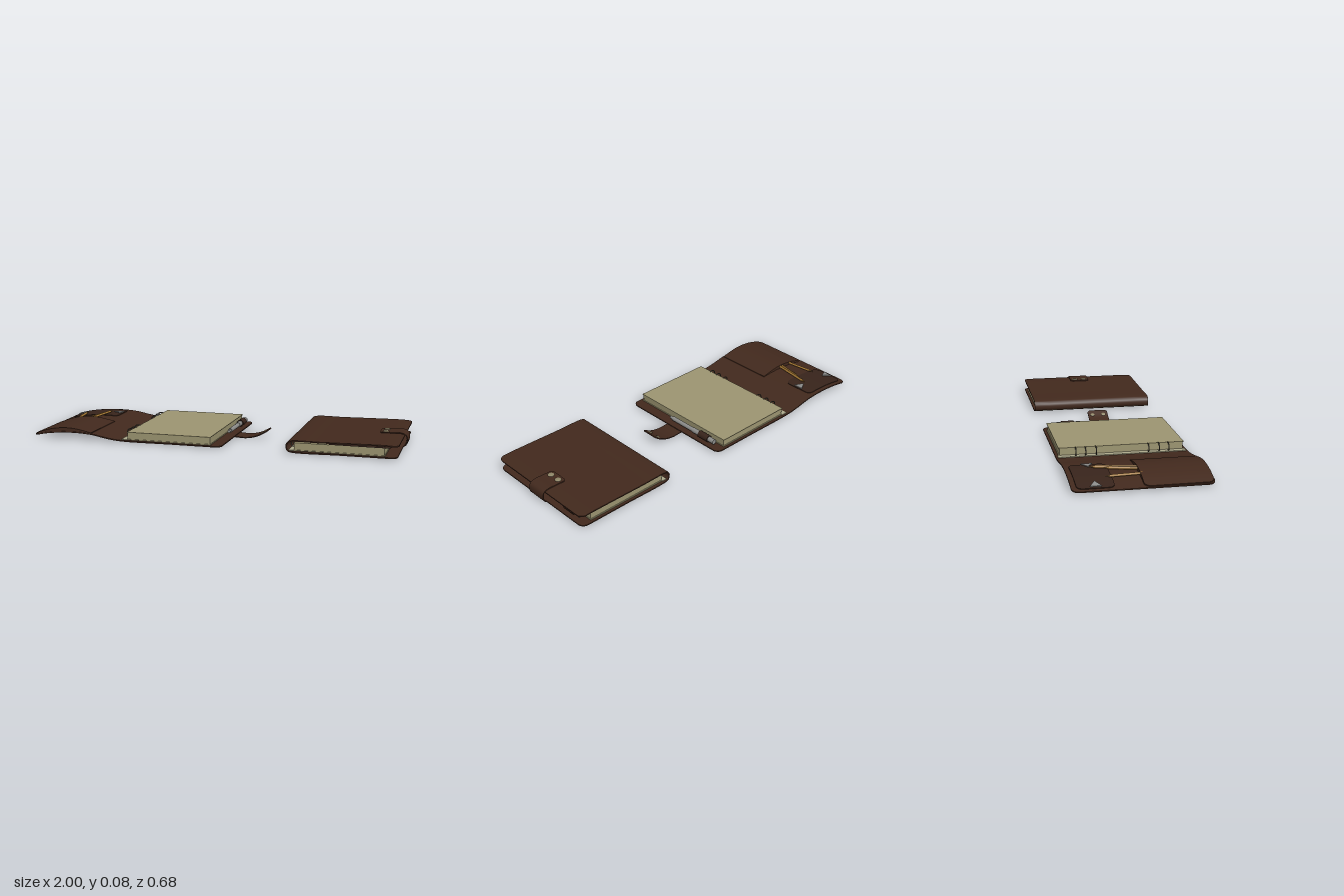
import * as THREE from 'three';

const mat = (name, color) => {
  const m = new THREE.MeshStandardMaterial({ color });
  m.name = name;
  return m;
};

export function createModel() {
  const model = new THREE.Group();
  model.name = 'leatherJournals';
  const leather = mat('brown leather', 0x42291d);
  const darkLeather = mat('dark leather', 0x38241b);
  const paper = mat('cream paper', 0x9c9571);
  const lightPaper = mat('pale paper', 0xaeaa8c);
  const metal = mat('grey metal', 0x8c8c8a);
  const ringMetal = mat('dark ring metal', 0x4c483c);
  const brass = mat('dull brass', 0x8f8768);
  const wood = mat('pencil wood', 0xa87a34);

  const add = (parent, name, geometry, material, x = 0, y = 0, z = 0) => {
    const mesh = new THREE.Mesh(geometry, material);
    mesh.name = name;
    mesh.position.set(x, y, z);
    parent.add(mesh);
    return mesh;
  };

  // Thin leather slab bent along an x/y profile; rStart and rEnd round its end corners.
  const sheet = (points, z0, z1, thickness, rStart = 0, rEnd = 0, segments = 64, bulge = 0) => {
    const curve = new THREE.CatmullRomCurve3(points.map(([x, y]) => new THREE.Vector3(x, y, 0)), false, 'centripetal');
    curve.arcLengthDivisions = 600;
    const length = curve.getLength();
    const geo = new THREE.BoxGeometry(1, 1, 1, segments, 1, 8);
    const pos = geo.attributes.position;
    const inset = (s, r) => (s < r ? r - Math.sqrt(Math.max(0, r * r - (r - s) ** 2)) : 0);
    for (let i = 0; i < pos.count; i++) {
      const t = Math.min(1, Math.max(0, (1 - Math.cos(Math.PI * (pos.getX(i) + 0.5))) / 2));
      const p = curve.getPointAt(t);
      const d = curve.getTangentAt(t);
      const half = (z1 - z0) / 2 - inset(t * length, rStart) - inset((1 - t) * length, rEnd);
      const lift = pos.getY(i) * thickness + (pos.getY(i) > 0 ? bulge * Math.sin(Math.PI * t) : 0);
      pos.setXYZ(i, p.x - d.y * lift, p.y + d.x * lift, (z0 + z1) / 2 + pos.getZ(i) * 2 * half);
    }
    geo.computeVertexNormals();
    return geo;
  };

  // Pencil between two points with a pointed tip at the second
  const pencil = (parent, from, to) => {
    const a = new THREE.Vector3(...from), b = new THREE.Vector3(...to);
    const g = new THREE.Group();
    g.name = 'pencil';
    const len = a.distanceTo(b);
    add(g, 'pencilBody', new THREE.CylinderGeometry(0.007, 0.007, len - 0.03, 6), wood, 0, (len - 0.03) / 2, 0);
    add(g, 'pencilTip', new THREE.ConeGeometry(0.007, 0.03, 6), wood, 0, len - 0.015, 0);
    g.position.copy(a);
    g.quaternion.setFromUnitVectors(new THREE.Vector3(0, 1, 0), b.sub(a).normalize());
    parent.add(g);
  };

  // Page block, binder rings, pen and pen loop shared by both journals
  const contents = (parent) => {
    add(parent, 'pageBlock', new THREE.BoxGeometry(0.46, 0.036, 0.64), paper, -0.225, 0.034, 0);
    add(parent, 'topPage', new THREE.BoxGeometry(0.465, 0.003, 0.65), paper, -0.2245, 0.0535, 0);
    add(parent, 'bottomPage', new THREE.BoxGeometry(0.465, 0.004, 0.65), paper, -0.2245, 0.0145, 0);
    add(parent, 'bindingStrip', new THREE.BoxGeometry(0.032, 0.004, 0.66), lightPaper, -0.471, 0.0145, 0);
    for (const side of [-1, 1]) for (const k of [0.135, 0.19, 0.24]) {
      add(parent, 'binderRing', new THREE.TorusGeometry(0.022, 0.003, 6, 24), ringMetal, -0.465, 0.035, side * k);
    }
    const penPart = (name, r, z0, z1, m) => {
      const part = add(parent, name, new THREE.CylinderGeometry(r, r, z1 - z0, 20), m, 0.034, 0.034, (z0 + z1) / 2);
      part.rotation.x = Math.PI / 2;
    };
    penPart('penCap', 0.014, -0.28, -0.12, metal);
    penPart('penBarrel', 0.012, -0.12, 0.04, metal);
    penPart('penTip', 0.008, 0.04, 0.06, metal);
    penPart('penLoop', 0.019, -0.24, -0.17, darkLeather);
  };

  // Low domed snap button, tilted to lie on its strap
  const snap = (parent, x, y, z, r, tilt = 0) => {
    const dome = new THREE.SphereGeometry(r, 20, 6, 0, Math.PI * 2, 0, Math.PI / 2);
    dome.scale(1, 0.3, 1);
    add(parent, 'snapButton', dome, brass, x, y, z).rotation.z = tilt;
  };

  // ---- Open journal ----
  const open = new THREE.Group();
  open.name = 'openJournal';
  model.add(open);
  add(open, 'openCover', sheet([[-0.998, 0.012], [-0.9, 0.03], [-0.78, 0.039], [-0.66, 0.034], [-0.57, 0.018],
    [-0.49, 0.009], [-0.2, 0.009], [0.068, 0.009]], -0.34, 0.34, 0.006, 0.035, 0.035, 110), leather);
  contents(open);
  add(open, 'largePocket', sheet([[-0.99, 0.018], [-0.9, 0.034], [-0.78, 0.043], [-0.66, 0.038]],
    0, 0.335, 0.006, 0.03, 0, 40, 0.016), leather);
  add(open, 'cardPocket', sheet([[-0.98, 0.0205], [-0.9, 0.0345], [-0.78, 0.0435], [-0.7, 0.0415]],
    -0.315, -0.135, 0.004, 0.03, 0.03, 30), darkLeather);

  // Metal corner triangles on the card pocket
  for (const [x, y, dir, tilt] of [[-0.972, 0.0265, 1, 0.17], [-0.705, 0.046, -1, -0.05]]) {
    const tri = new THREE.Shape([[0, -0.028], [0.05, 0], [0, 0.028]].map(([a, b]) => new THREE.Vector2(a * dir, b)));
    const geo = new THREE.ExtrudeGeometry(tri, { depth: 0.004, bevelEnabled: false });
    geo.rotateX(-Math.PI / 2);
    add(open, 'cornerPlate', geo, metal, x, y, -0.225).rotation.z = tilt;
  }
  pencil(open, [-0.877, 0.046, 0.06], [-0.9, 0.048, -0.17]);
  pencil(open, [-0.81, 0.052, 0.06], [-0.767, 0.054, -0.225]);
  pencil(open, [-0.83, 0.05, 0.06], [-0.787, 0.052, -0.16]);

  // Loose closing strap with two snaps
  add(open, 'openStrap', sheet([[0.0, 0.006], [0.07, 0.005], [0.13, 0.003], [0.19, 0.016], [0.246, 0.045]],
    -0.058, 0.055, 0.005, 0, 0.018, 40), leather);
  for (const z of [-0.033, 0.03]) snap(open, 0.215, 0.03, z, 0.012, 0.45);

  // ---- Closed journal ----
  const closed = new THREE.Group();
  closed.name = 'closedJournal';
  model.add(closed);
  add(closed, 'closedCover', sheet([[0.978, 0.009], [0.7, 0.009], [0.44, 0.009], [0.422, 0.016], [0.416, 0.035],
    [0.421, 0.056], [0.44, 0.064], [0.6, 0.066], [0.8, 0.069], [0.92, 0.07], [0.983, 0.067]].reverse().map(([x, y]) => [x, y]).reverse(),
  -0.34, 0.34, 0.006, 0.035, 0.035, 160), leather);
  const inside = new THREE.Group();
  inside.name = 'closedContents';
  inside.position.x = 0.908;
  closed.add(inside);
  contents(inside);
  add(closed, 'foldedPocket', new THREE.BoxGeometry(0.31, 0.008, 0.33), darkLeather, 0.79, 0.061, 0.168);
  pencil(closed, [0.86, 0.0595, 0.02], [0.88, 0.0595, -0.16]);
  pencil(closed, [0.79, 0.0595, 0.02], [0.76, 0.0595, -0.22]);

  // Strap wrapped around the opening edge and fastened on the front cover
  add(closed, 'closedStrap', sheet([[0.9, 0.004], [0.965, 0.005], [0.99, 0.018], [0.996, 0.04], [0.99, 0.066],
    [0.965, 0.078], [0.92, 0.078], [0.853, 0.076]], -0.058, 0.055, 0.005, 0, 0.018, 70), leather);
  for (const z of [-0.03, 0.027]) snap(closed, 0.882, 0.079, z, 0.017);

  return model;
}
